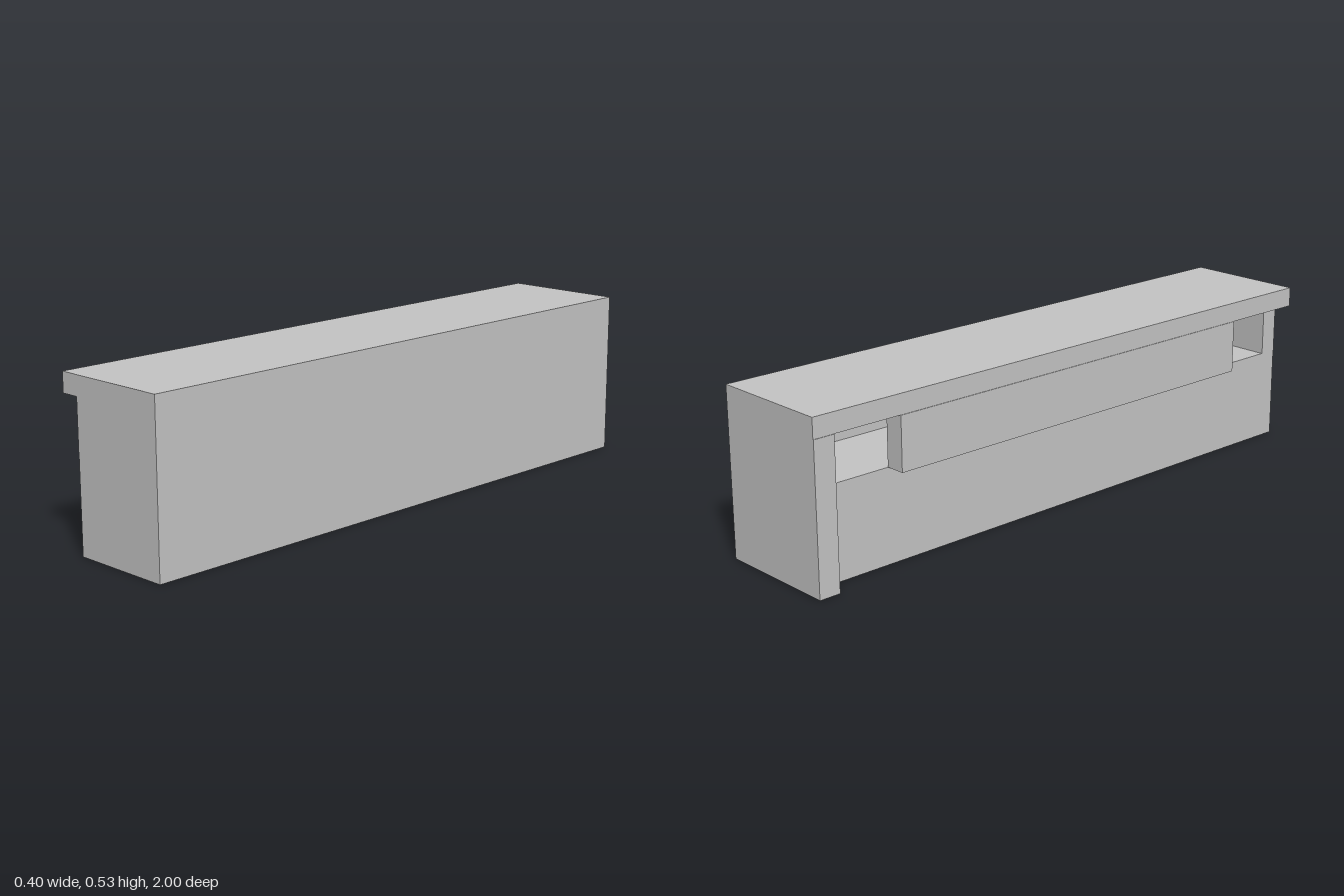
import * as THREE from 'three';

export function createModel() {
  const group = new THREE.Group();
  const grey = new THREE.MeshStandardMaterial({ color: 0xc4c4c4 });
  grey.name = 'plain grey';

  // Box given by its minimum and maximum corners
  function block(name, [x0, y0, z0], [x1, y1, z1]) {
    const mesh = new THREE.Mesh(new THREE.BoxGeometry(x1 - x0, y1 - y0, z1 - z0), grey);
    mesh.name = name;
    mesh.position.set((x0 + x1) / 2, (y0 + y1) / 2, (z0 + z1) / 2);
    group.add(mesh);
  }

  const outer = 0.202;    // half width
  const inset = -0.138;   // recessed side wall
  const floor = 0.297;    // floor of the inner channel
  const ceiling = 0.467;  // underside of the top slab
  const backEnd = -0.93, frontEnd = 0.94;

  // Solid lower body and overhanging top
  block('base', [inset, 0, backEnd], [outer, floor, 1]);
  block('topSlab', [-0.2, ceiling, -1], [outer, 0.53, 1]);

  // End walls: the back one reaches out to the full width
  block('backWall', [-outer, 0, -1], [outer, ceiling, backEnd]);
  block('frontWall', [inset - 0.001, floor, frontEnd], [outer, ceiling, 1]);

  // Long walls of the channel; the side panel leaves an opening at each end
  block('channelWall', [0.139, floor, backEnd], [outer, ceiling, frontEnd]);
  block('sidePanel', [-outer, floor, -0.7], [inset, ceiling, 0.71]);

  return group;
}
